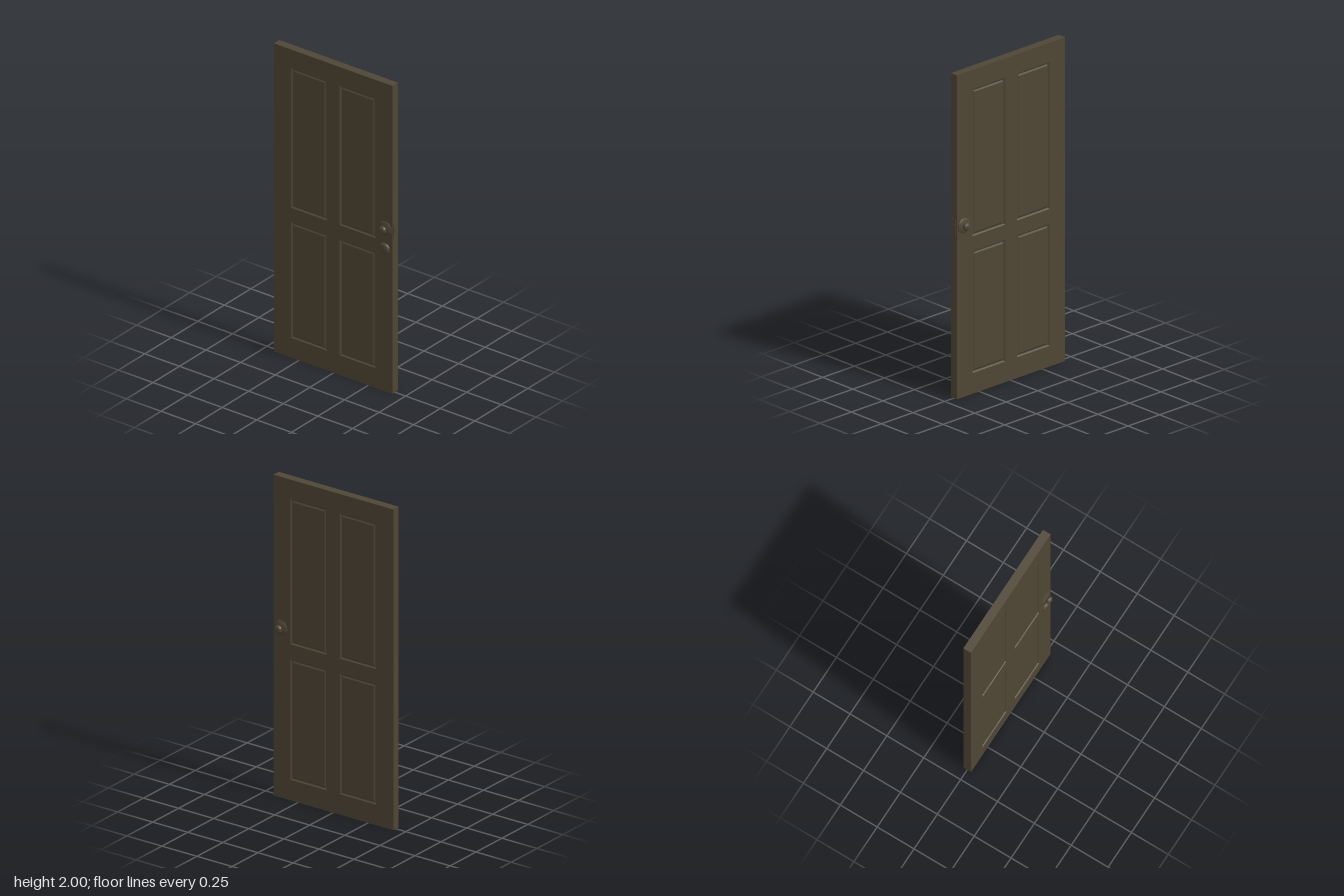
import * as THREE from 'three';
import { toCreasedNormals } from 'three/addons/utils/BufferGeometryUtils.js';

const HALF = 0.026; // half the door thickness
const LEFT = -0.43, RIGHT = 0.425, HEIGHT = 2;
const PANELS = [];
for (const [x0, x1] of [[-0.307, -0.049], [0.044, 0.302]])
  for (const [y0, y1] of [[0.128, 0.88], [0.973, 1.88]]) PANELS.push({ x0, x1, y0, y1 });

function rectangle(Type, x0, y0, x1, y1) {
  const path = new Type();
  path.moveTo(x0, y0);
  path.lineTo(x1, y0);
  path.lineTo(x1, y1);
  path.lineTo(x0, y1);
  path.closePath();
  return path;
}

// Nested rectangles: moulding slopes into a groove, then rises to the flat panel
function panelGeometry({ x0, x1, y0, y1 }) {
  const steps = [[0, 0], [0.006, -0.007], [0.011, -0.008], [0.02, -0.003]];
  const rings = steps.map(([inset, z]) => [
    [x0 + inset, y0 + inset, z], [x1 - inset, y0 + inset, z],
    [x1 - inset, y1 - inset, z], [x0 + inset, y1 - inset, z],
  ]);
  const positions = [];
  const quad = (a, b, c, d) => positions.push(...a, ...b, ...c, ...a, ...c, ...d);
  for (let r = 0; r < rings.length - 1; r++)
    for (let i = 0; i < 4; i++) {
      const j = (i + 1) % 4;
      quad(rings[r][i], rings[r][j], rings[r + 1][j], rings[r + 1][i]);
    }
  quad(...rings[rings.length - 1]);
  const geometry = new THREE.BufferGeometry();
  geometry.setAttribute('position', new THREE.Float32BufferAttribute(positions, 3));
  geometry.computeVertexNormals();
  return geometry;
}

// Turned part whose axis points along +z
function turned(points) {
  const profile = points.map(([r, z]) => new THREE.Vector2(r, z));
  const geometry = new THREE.LatheGeometry(profile, 32).rotateX(Math.PI / 2);
  return toCreasedNormals(geometry, 0.6);
}

export function createModel() {
  const model = new THREE.Group();
  model.name = 'door';
  const wood = new THREE.MeshStandardMaterial({ color: 0x4f4635 });
  wood.name = 'dark brown';

  const add = (parent, name, geometry, x = 0, y = 0, z = 0) => {
    const mesh = new THREE.Mesh(geometry, wood);
    mesh.name = name;
    mesh.position.set(x, y, z);
    parent.add(mesh);
    return mesh;
  };

  // Stiles and rails in one slab with four openings
  const outline = rectangle(THREE.Shape, LEFT, 0, RIGHT, HEIGHT);
  for (const p of PANELS) outline.holes.push(rectangle(THREE.Path, p.x0, p.y0, p.x1, p.y1));
  const slab = new THREE.ExtrudeGeometry(outline, { depth: HALF * 2, bevelEnabled: false });
  add(model, 'doorFrame', slab, 0, 0, -HALF);

  // Panels on both faces; the back ones are turned about the vertical axis
  for (const p of PANELS) {
    add(model, 'frontPanel', panelGeometry(p), 0, 0, HALF);
    const mirrored = { ...p, x0: -p.x1, x1: -p.x0 };
    add(model, 'backPanel', panelGeometry(mirrored), 0, 0, -HALF).rotation.y = Math.PI;
  }

  // Rose, neck and flattened round knob on both faces
  const rose = turned([[0.047, -0.002], [0.047, 0.003], [0.043, 0.006], [0.03, 0.007], [0.022, 0.01], [0, 0.01]]);
  const neck = turned([[0.014, 0.008], [0.011, 0.012], [0.012, 0.016]]);
  const knob = turned([
    [0, 0.011], [0.012, 0.011], [0.019, 0.014], [0.023, 0.019], [0.024, 0.024],
    [0.023, 0.029], [0.019, 0.035], [0.013, 0.038], [0.006, 0.039], [0, 0.039],
  ]);
  for (const side of [1, -1]) {
    const handle = new THREE.Group();
    handle.name = side > 0 ? 'frontHandle' : 'backHandle';
    handle.position.set(0.372, 1.058, side * HALF);
    if (side < 0) handle.rotation.y = Math.PI;
    add(handle, 'rose', rose);
    add(handle, 'neck', neck);
    add(handle, 'knob', knob);
    model.add(handle);
  }

  // Deadbolt cylinder on the front
  const bolt = turned([[0.036, -0.002], [0.036, 0.007], [0.033, 0.012], [0.027, 0.015], [0, 0.015]]);
  add(model, 'deadbolt', bolt, 0.37, 0.928, HALF);

  // Latch plate and latch on the edge
  add(model, 'latchPlate', new THREE.BoxGeometry(0.004, 0.1, 0.034), RIGHT + 0.001, 1.058, 0);
  add(model, 'latch', new THREE.BoxGeometry(0.006, 0.03, 0.018), RIGHT + 0.002, 1.058, 0);

  return model;
}
